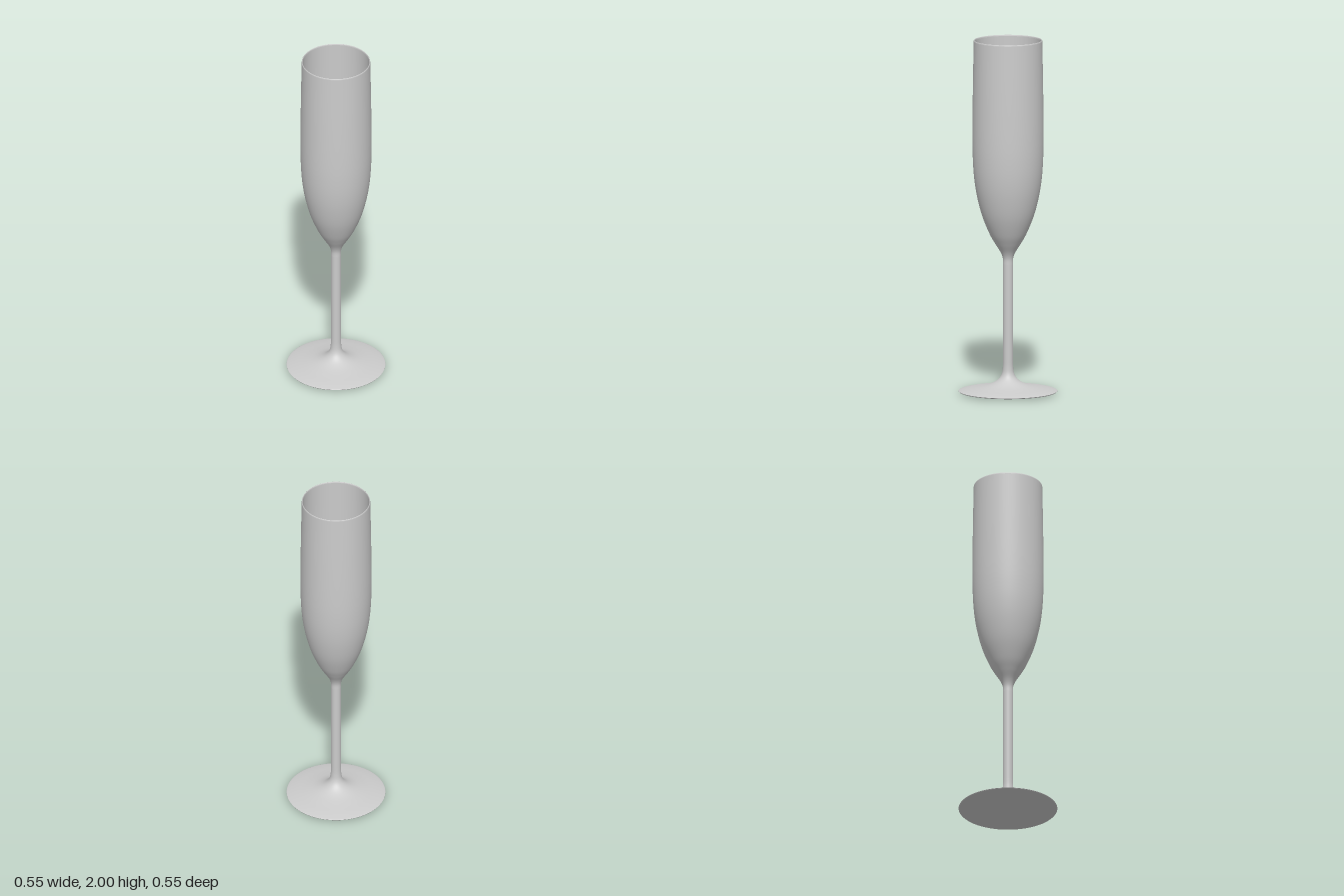
import * as THREE from 'three';

const SEGMENTS = 96;

// Smooth curve through [radius, height] pairs
function smooth(pairs, count) {
  return new THREE.SplineCurve(pairs.map(([r, y]) => new THREE.Vector2(r, y)))
    .getPoints(count)
    .map((p) => new THREE.Vector2(Math.max(p.x, 0), Math.max(p.y, 0)));
}

export function createModel() {
  const group = new THREE.Group();
  group.name = 'fluteGlass';
  const material = new THREE.MeshStandardMaterial({ color: 0xcccccc });

  function turn(name, points) {
    const mesh = new THREE.Mesh(new THREE.LatheGeometry(points, SEGMENTS), material);
    mesh.name = name;
    group.add(mesh);
  }

  // Underside of the foot, very slightly dished up toward the edge
  turn('footUnderside', smooth([[0, 0], [0.1, 0], [0.18, 0.001], [0.24, 0.005], [0.272, 0.01]], 16));

  // Thin foot edge, rounded, flaring up into the stem
  turn('foot', smooth([
    [0.272, 0.01], [0.275, 0.013], [0.272, 0.017], [0.23, 0.026], [0.17, 0.036],
    [0.115, 0.048], [0.075, 0.065], [0.048, 0.088], [0.034, 0.115], [0.029, 0.15], [0.028, 0.19],
  ], 60));

  // Slender straight stem
  turn('stem', [new THREE.Vector2(0.028, 0.19), new THREE.Vector2(0.028, 0.73)]);

  // Outer wall of the bowl
  turn('bowlOutside', smooth([
    [0.028, 0.73], [0.029, 0.765], [0.042, 0.8], [0.072, 0.848], [0.104, 0.905], [0.143, 1],
    [0.17, 1.1], [0.187, 1.2], [0.196, 1.31], [0.199, 1.45], [0.197, 1.7], [0.192, 1.993],
  ], 80));

  // Rounded lip
  turn('rim', smooth([[0.192, 1.993], [0.191, 1.998], [0.189, 2], [0.187, 1.998], [0.186, 1.993]], 10));

  // Inner wall, running down to a rounded bottom
  turn('bowlInside', smooth([
    [0.186, 1.993], [0.19, 1.7], [0.192, 1.45], [0.188, 1.31], [0.179, 1.2], [0.162, 1.1],
    [0.134, 1], [0.094, 0.905], [0.062, 0.852], [0.03, 0.822], [0, 0.814],
  ], 80));

  return group;
}
